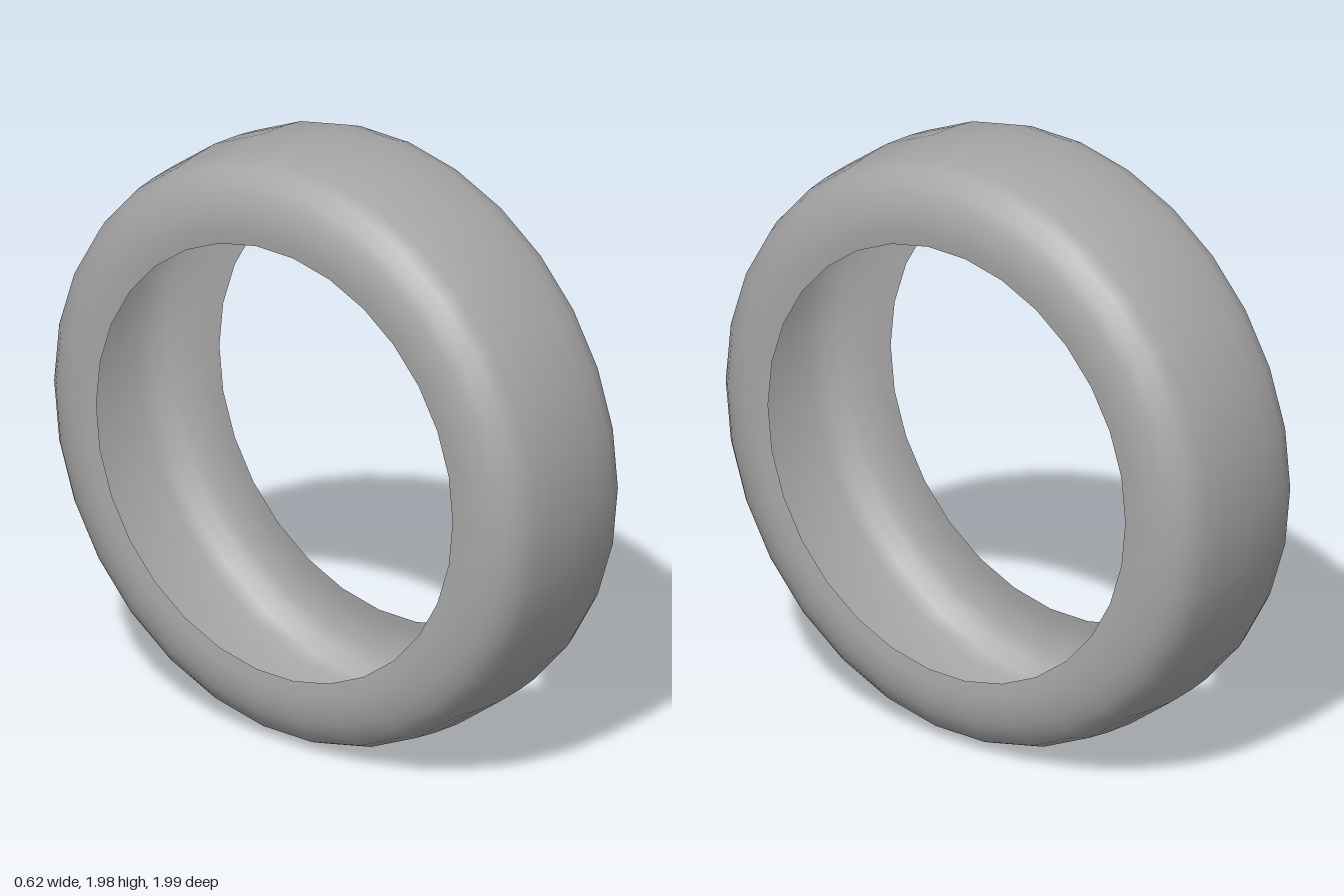
import * as THREE from 'three';

export function createModel() {
  const group = new THREE.Group();
  const rubber = new THREE.MeshStandardMaterial({ color: 0xa6a6a6, side: THREE.DoubleSide });
  rubber.name = 'grey rubber';

  // Half cross-section of the hollow tyre: [radius, distance from the middle]
  const half = [
    [0.733, 0.305], [0.78, 0.311], [0.83, 0.309], [0.88, 0.296], [0.925, 0.274],
    [0.96, 0.24], [0.98, 0.19], [0.99, 0.11],
  ];
  const profile = [
    ...half.map(([r, x]) => new THREE.Vector2(r, -x)),
    new THREE.Vector2(0.997, 0),
    ...half.slice().reverse().map(([r, x]) => new THREE.Vector2(r, x)),
  ];

  // Open shell turned about the sideways axle
  const geometry = new THREE.LatheGeometry(profile, 30);
  geometry.rotateZ(-Math.PI / 2);
  const tyre = new THREE.Mesh(geometry, rubber);
  tyre.name = 'tyre';
  tyre.position.y = 0.997;
  group.add(tyre);
  return group;
}
